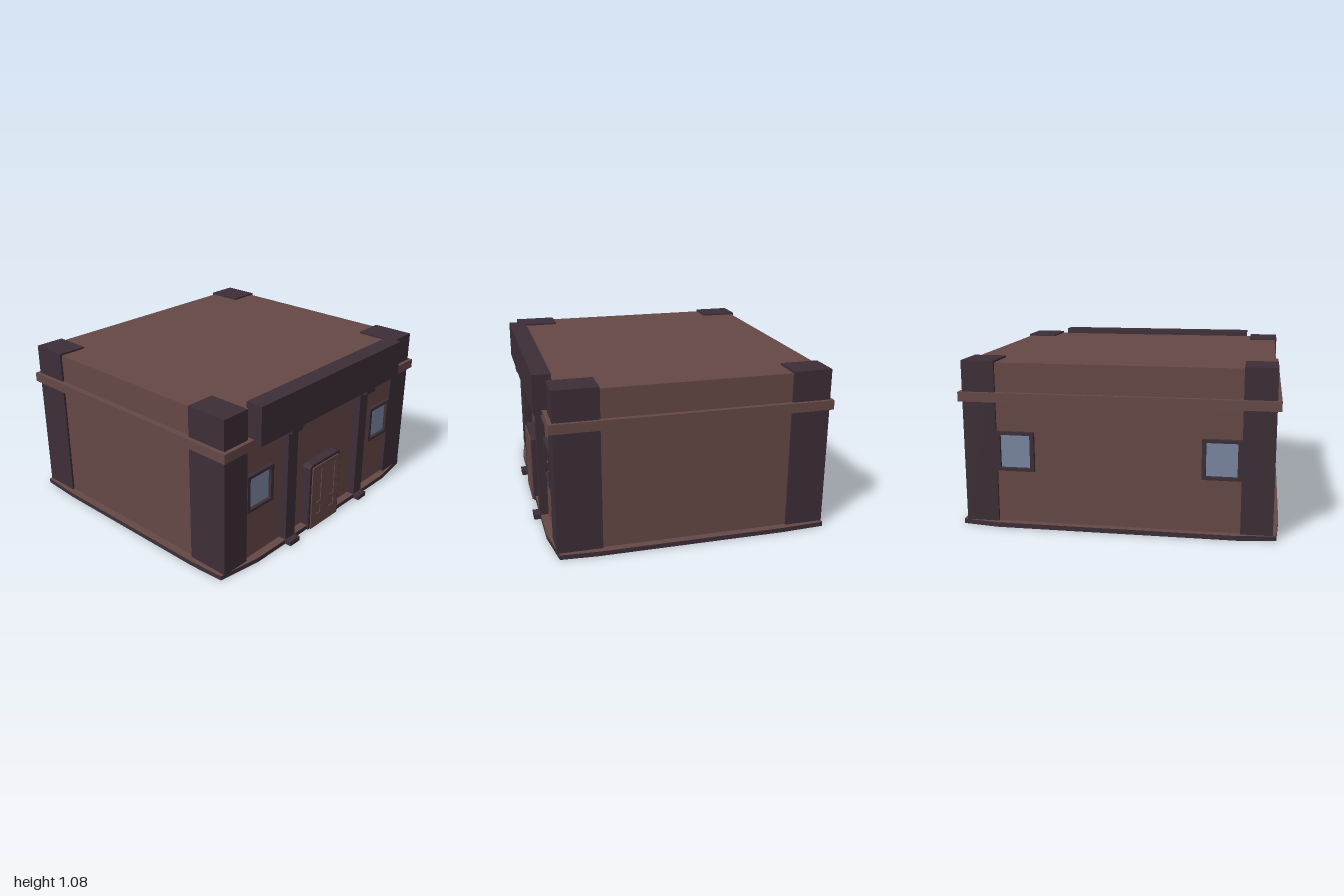
import * as THREE from 'three';

const paint = (name, color) => {
  const m = new THREE.MeshStandardMaterial({ color });
  m.name = name;
  return m;
};

export function createModel() {
  const brown = paint('clay brown', 0x654846);
  const dark = paint('dark plum', 0x3d2e37);
  const glass = paint('blue glass', 0x7986a0);
  const model = new THREE.Group();

  const add = (name, geometry, material, parent = model) => {
    const mesh = new THREE.Mesh(geometry, material);
    mesh.name = name;
    parent.add(mesh);
    return mesh;
  };
  // Box given by its minimum and maximum on each axis
  const box = (name, mat, x0, x1, y0, y1, z0, z1, parent) => {
    const mesh = add(name, new THREE.BoxGeometry(x1 - x0, y1 - y0, z1 - z0), mat, parent);
    mesh.position.set((x0 + x1) / 2, (y0 + y1) / 2, (z0 + z1) / 2);
    return mesh;
  };
  const outline = (pts) => new THREE.Shape(pts.map(([x, y]) => new THREE.Vector2(x, y)));
  const rect = (x0, x1, y0, y1) => outline([[x0, y0], [x1, y0], [x1, y1], [x0, y1]]);
  const extrude = (shape, depth) => new THREE.ExtrudeGeometry(shape, { depth, bevelEnabled: false });

  // Floor slab with slightly bowed sides: brown faces, dark rim
  const slabShape = outline([
    [-0.985, -0.83], [-0.7, -0.872], [0.7, -0.872], [0.985, -0.83], [1, -0.6], [1, 0.6],
    [0.985, 0.885], [0.75, 0.918], [-0.75, 0.918], [-0.985, 0.885], [-1, 0.6], [-1, -0.6],
  ]);
  const slab = add('floorSlab', extrude(slabShape, 0.03), [brown, dark]);
  slab.rotation.x = -Math.PI / 2;

  // Main block and the ledge around it
  box('walls', brown, -0.95, 0.95, 0.03, 1.043, -0.87, 0.82);
  box('ledge', brown, -0.99, 0.985, 0.8, 0.86, -0.905, 0.865);

  // Corner pillars
  for (const [side, x0, x1] of [['right', -0.964, -0.768], ['left', 0.754, 0.962]]) {
    box(`${side}FrontPillar`, dark, x0, x1, 0.03, 1.055, 0.56, 0.84);
    box(`${side}BackPillar`, dark, x0, x1, 0.03, 1.055, -0.886, -0.637);
  }

  // Beam over the entrance
  box('entranceBeam', dark, -0.738, 0.711, 0.83, 1.08, 0.8, 0.916);

  // Entrance columns, each with a foot and a cap
  for (const [side, x0, x1, c0, c1] of [
    ['right', -0.43, -0.338, -0.45, -0.345], ['left', 0.33, 0.417, 0.337, 0.436],
  ]) {
    const column = new THREE.Group();
    column.name = `${side}Column`;
    model.add(column);
    box('shaft', dark, x0, x1, 0.03, 0.85, 0.81, 0.873, column);
    box('foot', dark, x0, x1, 0, 0.032, 0.81, 0.916, column);
    box('cap', dark, c0, c1, 0.8, 0.862, 0.81, 0.912, column);
  }

  // Windows: a frame with a pane set inside, on the front and the back
  const addWindow = (name, x, z, facing) => {
    const win = new THREE.Group();
    win.name = name;
    const frame = rect(-0.12, 0.12, -0.125, 0.125);
    frame.holes.push(rect(-0.095, 0.095, -0.105, 0.105));
    add('windowFrame', extrude(frame, 0.035), dark, win).position.z = -0.01;
    box('windowPane', glass, -0.097, 0.097, -0.107, 0.107, -0.002, 0.004, win);
    win.position.set(x, 0.49, z);
    win.rotation.y = facing;
    model.add(win);
  };
  for (const [side, x] of [['right', -0.648], ['left', 0.632]]) {
    addWindow(`${side}FrontWindow`, x, 0.82, 0);
    addWindow(`${side}BackWindow`, x, -0.87, Math.PI);
  }

  // Door: arch-cornered surround and a leaf with sunken panels
  const door = new THREE.Group();
  door.name = 'door';
  model.add(door);
  const arch = (x0, x1, top, c) => outline([
    [x0, 0], [x1, 0], [x1, top - c], [x1 - c * 0.3, top - c * 0.3], [x1 - c, top],
    [x0 + c, top], [x0 + c * 0.3, top - c * 0.3], [x0, top - c],
  ]);
  add('doorSurround', extrude(arch(-0.205, 0.118, 0.475, 0.025), 0.066), dark, door)
    .position.z = 0.815;
  const leaf = arch(-0.186, 0.102, 0.455, 0.012);
  for (const x of [-0.14, 0.003]) {
    leaf.holes.push(rect(x, x + 0.05, 0.18, 0.42), rect(x, x + 0.05, 0.09, 0.148));
  }
  add('doorLeaf', extrude(leaf, 0.008), brown, door).position.z = 0.882;
  box('doorPanels', brown, -0.16, 0.08, 0.07, 0.44, 0.878, 0.884, door);

  return model;
}
